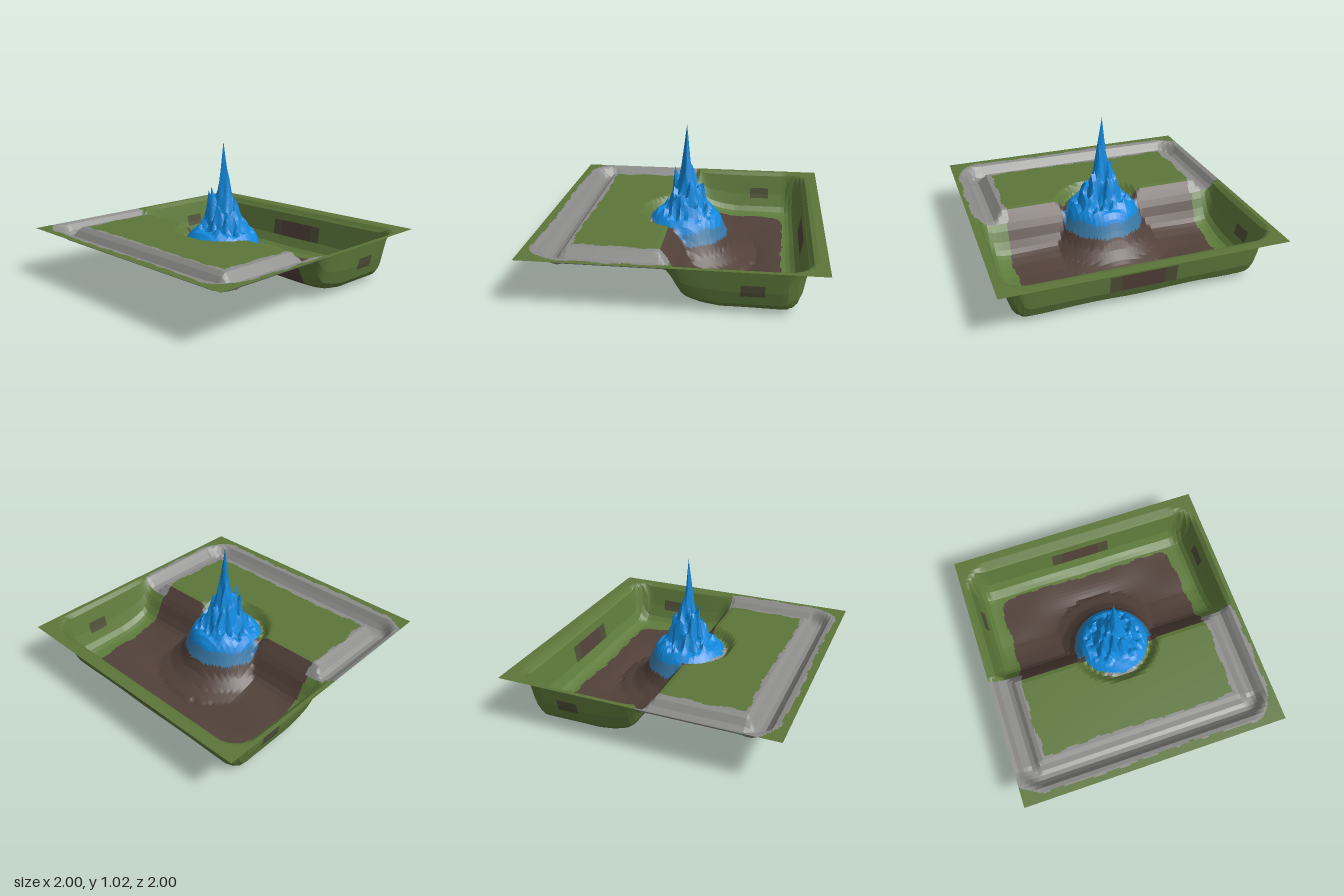
import * as THREE from 'three';

const N = 64;          // height lattice cells per side
const SUB = 3;         // colour sub-cells per lattice cell
const RIM = 0.39;

const WALL = [[0, 0], [0.02, 0.03], [0.045, 0.13], [0.06, 0.5], [0.085, 0.8], [0.12, 0.95], [0.17, 1]];
const BANK = [[-0.1, 0], [-0.04, 0.22], [0, 0.4], [0.05, 0.72], [0.1, 0.84], [0.2, 0.94], [0.32, 1]];
const MOUND = [[0, 1.05], [0.03, 0.84], [0.06, 0.7], [0.1, 0.61], [0.15, 0.51], [0.21, 0.4], [0.25, 0.35],
  [0.29, 0.25], [0.34, 0.15], [0.42, 0.08], [0.52, 0.04]];
const SPIKES = [[0, 0, 1.05], [-0.094, -0.031, 0.72], [-0.062, -0.094, 0.68], [0.125, 0, 0.61],
  [0, 0.031, 0.87], [0.031, 0.094, 0.63], [-0.031, 0, 0.82]];

// piecewise-linear profile lookup
function profile(points, t) {
  if (t <= points[0][0]) return points[0][1];
  for (let i = 1; i < points.length; i++) {
    const [a, u] = points[i - 1], [b, v] = points[i];
    if (t <= b) return u + (v - u) * (t - a) / (b - a);
  }
  return points[points.length - 1][1];
}

// signed distance to a corner-rounded region, given distances past its sides
function roundedDistance(px, pz, r) {
  const qx = px + r, qz = pz + r;
  return Math.hypot(Math.max(qx, 0), Math.max(qz, 0)) + Math.min(Math.max(qx, qz), 0) - r;
}

const pitDepth = (x, z) => -roundedDistance(x - 0.92, Math.abs(z) - 0.97, 0.2);
const roadOffset = (x, z) => Math.abs(roundedDistance(-0.82 - x, Math.abs(z + 0.025) - 0.865, 0.08));

function hash(i, j) {
  const s = Math.sin(i * 127.1 + j * 311.7) * 43758.5453;
  return s - Math.floor(s);
}

// ground height: sunken road, pit, ditch and jagged mound
function height(x, z, i, j) {
  const r = Math.hypot(x, z);
  let y = RIM;
  if (x < -0.03) {
    const t = THREE.MathUtils.smoothstep(roadOffset(x, z), 0.02, 0.1);
    y -= (x < -0.72 ? 0.085 : 0.075) * (1 - t);
    y -= 0.075 * Math.max(0, 1 - Math.abs(r - 0.285) / 0.06);
  }
  const dip = 0.04 * Math.exp(-(((x - 0.47) / 0.1) ** 2) - (z / 0.25) ** 2);
  const ripple = 0.006 * Math.sin(x * 11) * Math.cos(z * 9);
  const pit = profile(WALL, pitDepth(x, z)) * profile(BANK, x);
  if (x > -0.1) y = Math.min(y, RIM - pit * (RIM - 0.05 + dip + ripple));
  if (r < 0.52) {
    let m = profile(MOUND, r);
    if (r < 0.21) m -= 0.15 * hash(i, j) * Math.min(1, (0.23 - r) / 0.08);
    for (const [sx, sz, sh] of SPIKES) {
      if (Math.hypot(x - sx, z - sz) < 0.012) m = sh;
    }
    y = Math.max(y, m);
  }
  return y;
}

// which painted area a point belongs to
function area(x, y, z) {
  const r = Math.hypot(x, z);
  const wobble = 0.008 * Math.sin(x * 23 + z * 5) + 0.006 * Math.sin(z * 31 - x * 9);
  if (r < 0.265 + wobble * 0.5) return 'crystalMound';
  if (x > -0.05 && r < 0.305) return 'moundFoot';
  if (x < -0.03 && roadOffset(x, z) < 0.125 + wobble) return 'road';
  if (x < -0.22 && r < 0.285 && z > -0.15 && z < 0.12) return 'road';
  if (x > -0.09) {
    const floor = roundedDistance(x - 0.72, Math.abs(z + 0.01) - 0.745, 0.1);
    if (floor < wobble) return 'pitFloor';
    const band = y > 0.18 && y < 0.28;
    if (band && x > 0.8 && Math.abs(z) < 0.16) return 'pitFloor';
    if (band && x > 0.8 && Math.abs(z) < 0.24) return 'mossPatch';
    if (band && Math.abs(z) > 0.85 && x > 0.45 && x < 0.6) return 'mossPatch';
    if (pitDepth(x, z) > 0.03 && y < 0.37) return 'pitWall';
  }
  return 'grass';
}

export function createModel() {
  const colours = {
    grass: 0x5c7639, pitWall: 0x5f7c3c, pitFloor: 0x52413a, mossPatch: 0x4e5038,
    road: 0x8b8b89, crystalMound: 0x1089dd, moundFoot: 0x3878a6,
  };

  // lattice heights
  const H = [];
  for (let j = 0; j <= N; j++) {
    H.push([]);
    for (let i = 0; i <= N; i++) H[j].push(height(-1 + 2 * i / N, -1 + 2 * j / N, i, j));
  }

  // point on the surface at fine grid position, interpolated between lattice heights
  const M = N * SUB;
  function point(a, b) {
    const i = Math.min(N - 1, Math.floor(a / SUB)), j = Math.min(N - 1, Math.floor(b / SUB));
    const u = a / SUB - i, v = b / SUB - j;
    const y0 = H[j][i] * (1 - u) + H[j][i + 1] * u;
    const y1 = H[j + 1][i] * (1 - u) + H[j + 1][i + 1] * u;
    return [-1 + 2 * a / M, y0 * (1 - v) + y1 * v, -1 + 2 * b / M];
  }

  // sort the cells into one surface per painted area
  const surfaces = {};
  for (const name in colours) surfaces[name] = [];
  for (let b = 0; b < M; b++) {
    for (let a = 0; a < M; a++) {
      const p = point(a, b), q = point(a + 1, b), r = point(a + 1, b + 1), s = point(a, b + 1);
      const mid = p.map((v, k) => (v + q[k] + r[k] + s[k]) / 4);
      surfaces[area(...mid)].push(...p, ...s, ...r, ...p, ...r, ...q);
    }
  }

  const group = new THREE.Group();
  group.name = 'terrain';
  for (const name in colours) {
    const geometry = new THREE.BufferGeometry();
    geometry.setAttribute('position', new THREE.Float32BufferAttribute(surfaces[name], 3));
    geometry.computeVertexNormals();
    const material = new THREE.MeshStandardMaterial({ color: colours[name], side: THREE.DoubleSide });
    material.name = name + 'Colour';
    const mesh = new THREE.Mesh(geometry, material);
    mesh.name = name;
    group.add(mesh);
  }
  return group;
}
